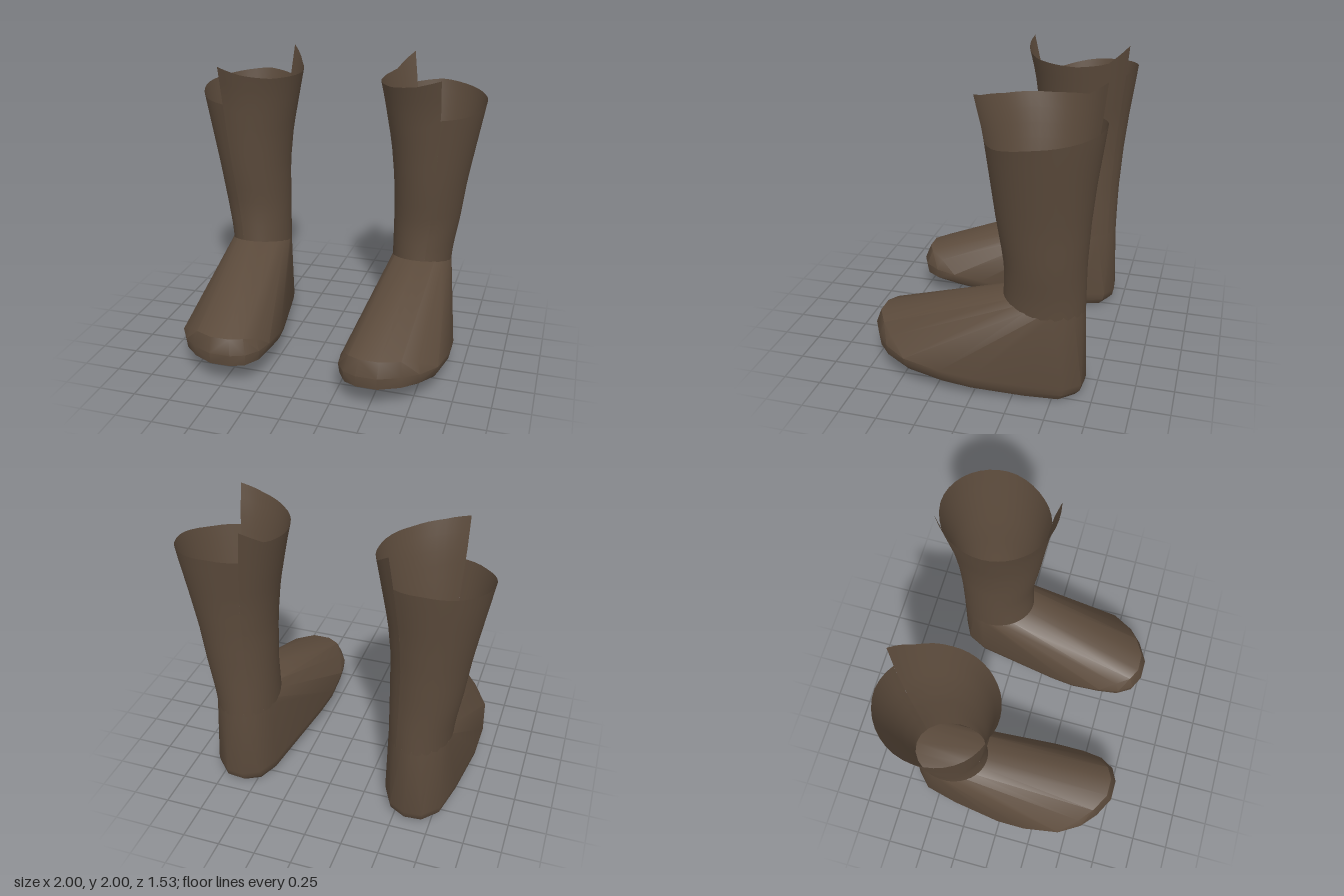
import * as THREE from 'three';
import { ConvexGeometry } from 'three/addons/geometries/ConvexGeometry.js';
import { toCreasedNormals } from 'three/addons/utils/BufferGeometryUtils.js';

// Shaft extents by height: y, inner x, outer x, back z, front z
const SHAFT = [
  [0.58, 0.40, 0.815, -0.67, -0.14],
  [0.70, 0.40, 0.825, -0.67, -0.15],
  [0.90, 0.40, 0.86, -0.672, -0.155],
  [1.20, 0.395, 0.90, -0.69, -0.11],
  [1.45, 0.37, 0.945, -0.715, -0.08],
  [1.75, 0.315, 1.0, -0.755, -0.04],
  [2.00, 0.265, 1.03, -0.785, 0.02],
];

// Rim height by angle in degrees (0 = outer side, 90 = front)
const INNER_RIM = [[74, 1.96], [100, 1.91], [130, 1.88], [180, 1.87], [212, 1.89], [238, 2.0]];
const OUTER_RIM = [[-122, 1.79], [-90, 1.81], [-45, 1.78], [0, 1.75], [40, 1.70], [74, 1.69]];

// Foot outline seen from above: x, z
const OUTLINE = [
  [0.92, 0.0], [0.925, 0.2], [0.89, 0.45], [0.80, 0.60], [0.70, 0.69], [0.56, 0.765],
  [0.42, 0.765], [0.33, 0.72], [0.27, 0.62], [0.25, 0.48], [0.245, 0.27], [0.27, 0.10],
  [0.34, -0.20], [0.40, -0.50], [0.47, -0.63], [0.58, -0.685], [0.70, -0.675],
  [0.80, -0.58], [0.86, -0.35],
];

// Linear lookup of column k in a table sorted by its first column
function lookup(table, t, k) {
  let i = 0;
  while (i < table.length - 2 && t > table[i + 1][0]) i++;
  const a = table[i], b = table[i + 1];
  const f = THREE.MathUtils.clamp((t - a[0]) / (b[0] - a[0]), 0, 1);
  return THREE.MathUtils.lerp(a[k], b[k], f);
}

// Point on the shaft wall at an angle and height
function shaftPoint(degrees, y, side) {
  const [inner, outer, back, front] = [1, 2, 3, 4].map((k) => lookup(SHAFT, y, k));
  const a = THREE.MathUtils.degToRad(degrees);
  const x = (inner + outer) / 2 + ((outer - inner) / 2) * Math.cos(a);
  const z = (front + back) / 2 + ((front - back) / 2) * Math.sin(a);
  return new THREE.Vector3(side * x, y, z);
}

// One wrapped panel of the shaft, from the ankle up to its uneven rim
function shaftPanel(rim, side) {
  const columns = 20, rows = 14, points = [], index = [];
  const start = rim[0][0], end = rim[rim.length - 1][0];
  for (let j = 0; j <= columns; j++) {
    const degrees = THREE.MathUtils.lerp(start, end, j / columns);
    const top = lookup(rim, degrees, 1);
    for (let i = 0; i <= rows; i++) {
      points.push(shaftPoint(degrees, THREE.MathUtils.lerp(0.58, top, i / rows), side));
      if (i === rows || j === columns) continue;
      const a = j * (rows + 1) + i, b = a + rows + 1;
      if (side > 0) index.push(a, a + 1, b, b, a + 1, b + 1);
      else index.push(a, b, a + 1, b, b + 1, a + 1);
    }
  }
  const geometry = new THREE.BufferGeometry().setFromPoints(points);
  geometry.setIndex(index);
  geometry.computeVertexNormals();
  return geometry;
}

// Foot: a hull around the ankle ring, the rounded edge rings and the sloping sole
function footGeometry(side) {
  const points = [];
  for (let d = 0; d < 360; d += 18) {
    const rise = Math.max(0, Math.sin(THREE.MathUtils.degToRad(d)));
    const p = shaftPoint(d, 0.6, side);
    p.y += 0.062 * rise;
    points.push(p);
  }
  for (const [x, z] of OUTLINE) {
    const sole = 0.155 * (z + 0.64) / 1.405;
    const toe = THREE.MathUtils.smoothstep(z, 0.4, 0.75);
    // inset towards the middle of the foot, height above the sole
    const rings = [
      [0.10, 0],
      [0.025, 0.04 - 0.03 * toe],
      [0, 0.09],
      [0.09, 0.10 + 0.09 * toe],
    ];
    for (const [inset, height] of rings) {
      const px = THREE.MathUtils.lerp(x, 0.6, inset);
      const pz = THREE.MathUtils.lerp(z, 0.05, inset * 0.6);
      points.push(new THREE.Vector3(side * px, Math.max(0, sole + height), pz));
    }
  }
  return toCreasedNormals(new ConvexGeometry(points), 0.6);
}

export function createModel() {
  const leather = new THREE.MeshStandardMaterial({ color: 0x5c4b3c, side: THREE.DoubleSide });
  leather.name = 'brown leather';

  const model = new THREE.Group();
  model.name = 'boots';
  for (const side of [1, -1]) {
    const boot = new THREE.Group();
    boot.name = side > 0 ? 'leftBoot' : 'rightBoot';
    const parts = {
      foot: footGeometry(side),
      innerShaftPanel: shaftPanel(INNER_RIM, side),
      outerShaftPanel: shaftPanel(OUTER_RIM, side),
    };
    for (const [name, geometry] of Object.entries(parts)) {
      const mesh = new THREE.Mesh(geometry, leather);
      mesh.name = name;
      boot.add(mesh);
    }
    model.add(boot);
  }
  return model;
}
